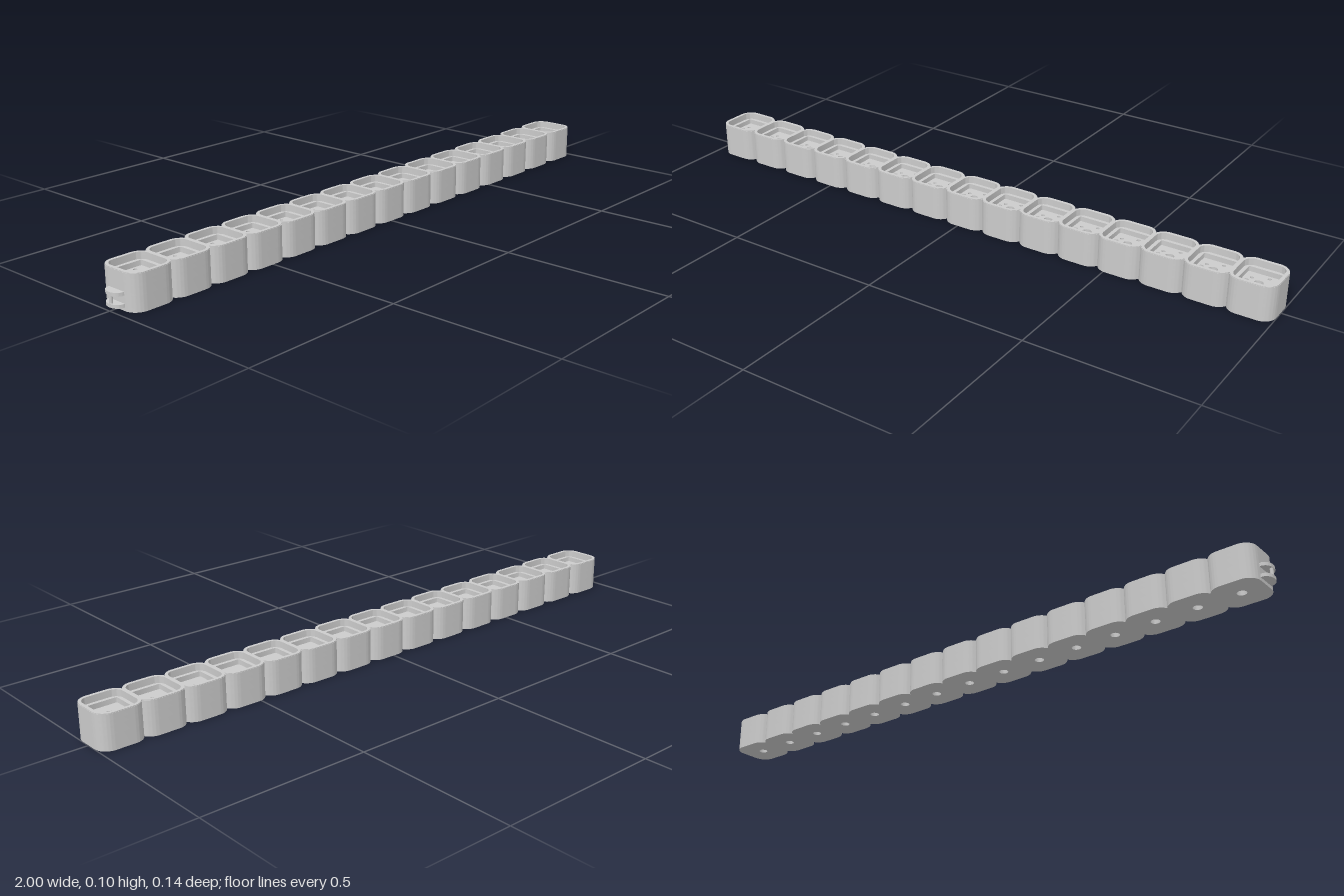
import * as THREE from 'three';
import { toCreasedNormals } from 'three/addons/utils/BufferGeometryUtils.js';

const CELLS = 15, PITCH = 0.131, FIRST_X = -0.905;
const material = new THREE.MeshStandardMaterial({ color: 0xcccccc });

// Rounded square of half-size h and corner radius r
function roundedSquare(h, r, Target = THREE.Shape) {
  const s = new Target();
  const c = h - r;
  s.absarc(c, c, r, 0, Math.PI / 2);
  s.absarc(-c, c, r, Math.PI / 2, Math.PI);
  s.absarc(-c, -c, r, Math.PI, Math.PI * 1.5);
  s.absarc(c, -c, r, Math.PI * 1.5, Math.PI * 2);
  s.closePath();
  return s;
}

function circle(x, y, r) {
  return new THREE.Path().absarc(x, y, r, 0, Math.PI * 2);
}

// Horizontal slab of a shape between two heights (shape y points to -z)
function slab(shape, y0, y1) {
  const g = new THREE.ExtrudeGeometry(shape, { depth: y1 - y0, bevelEnabled: false, curveSegments: 10 });
  g.rotateX(-Math.PI / 2).translate(0, y0, 0);
  return toCreasedNormals(g, 0.6);
}

// One cell layer: the outer outline with the given openings
function layer(y0, y1, holes, h = 0.07) {
  const s = roundedSquare(h, 0.04 - (0.07 - h));
  s.holes.push(...holes);
  return slab(s, y0, y1);
}

export function createModel() {
  const model = new THREE.Group();
  model.name = 'switchHolderStrip';

  const centre = circle(0, 0, 0.0138);
  const pins = [
    circle(-0.035, 0, 0.006), circle(0.035, 0, 0.006),
    circle(-0.026, 0.0175, 0.0055), circle(0.0175, 0.035, 0.0055),
  ];
  const layers = {
    base: layer(0, 0.045, [centre]),
    pinFloor: layer(0.045, 0.07, [centre, ...pins]),
    squarePocket: layer(0.07, 0.085, [roundedSquare(0.048, 0.004, THREE.Path)]),
    outerWall: layer(0.085, 0.103, [roundedSquare(0.059, 0.026, THREE.Path)]),
    topLip: layer(0.103, 0.105, [roundedSquare(0.059, 0.026, THREE.Path)], 0.069),
  };

  // Row of identical overlapping cells
  for (let i = 0; i < CELLS; i++) {
    const cell = new THREE.Group();
    cell.name = `cell${i + 1}`;
    cell.position.x = FIRST_X + i * PITCH;
    for (const [name, geometry] of Object.entries(layers)) {
      const mesh = new THREE.Mesh(geometry, material);
      mesh.name = name;
      cell.add(mesh);
    }
    model.add(cell);
  }

  // End loop: two rounded plates joined by a post at the tip
  const loop = new THREE.Group();
  loop.name = 'endLoop';
  const tab = new THREE.Shape();
  tab.moveTo(-0.97, 0.03);
  tab.lineTo(-0.982, 0.03);
  tab.quadraticCurveTo(-1, 0.023, -1, 0);
  tab.quadraticCurveTo(-1, -0.023, -0.982, -0.03);
  tab.lineTo(-0.97, -0.03);
  tab.closePath();
  for (const [name, y] of [['lowerPlate', 0.01], ['upperPlate', 0.042]]) {
    const plate = new THREE.Mesh(slab(tab, y, y + 0.01), material);
    plate.name = name;
    loop.add(plate);
  }
  const post = new THREE.Mesh(new THREE.CylinderGeometry(0.005, 0.005, 0.024, 16), material);
  post.name = 'loopPost';
  post.position.set(-0.994, 0.031, 0);
  loop.add(post);
  model.add(loop);

  return model;
}
